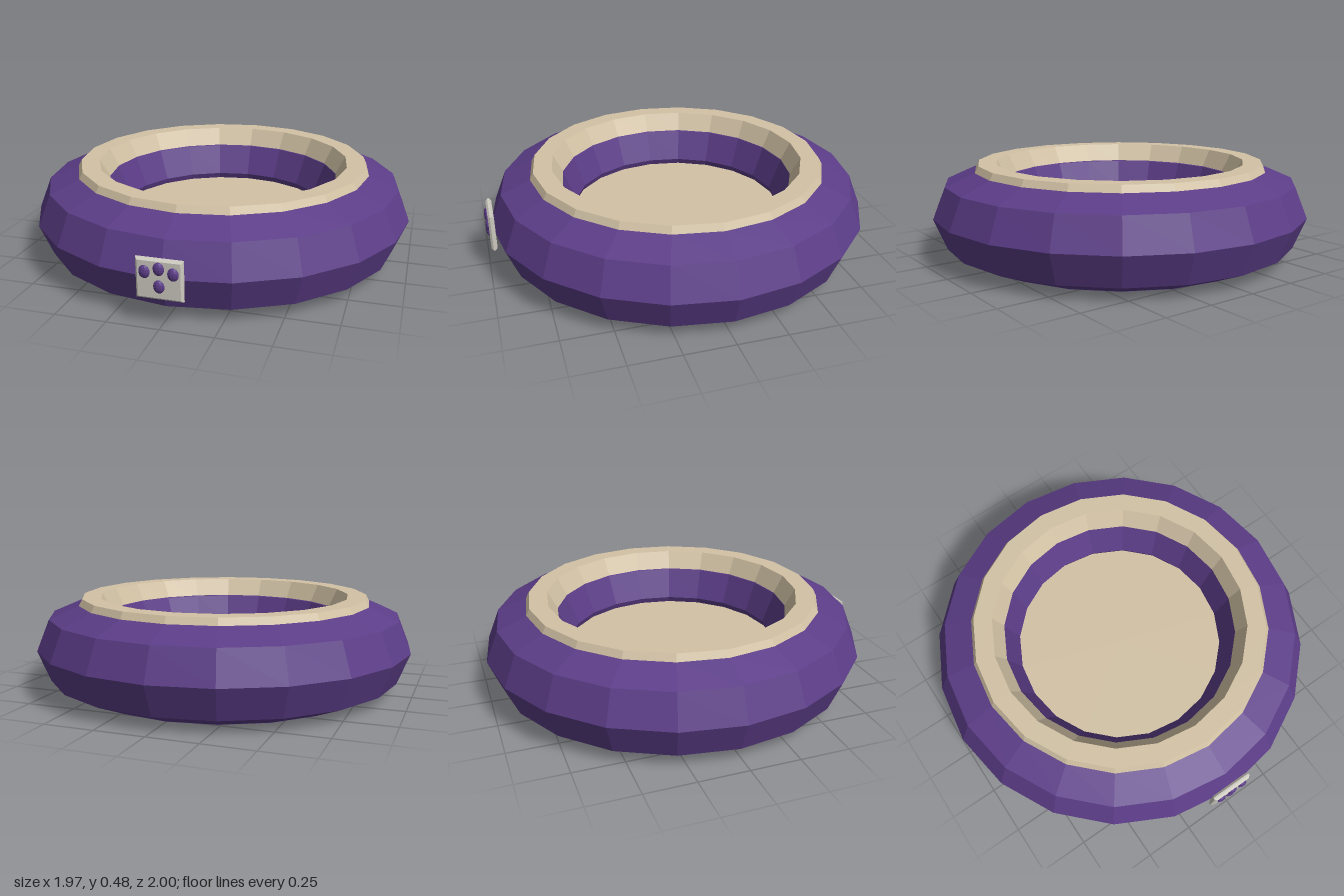
import * as THREE from 'three';

const SIDES = 20;
const CENTRE_Z = -0.014;

const purple = new THREE.MeshStandardMaterial({ color: 0x5c3d88 });
purple.name = 'purple fabric';
const beige = new THREE.MeshStandardMaterial({ color: 0xd2c2a5 });
beige.name = 'beige fabric';
const silver = new THREE.MeshStandardMaterial({ color: 0xcfccc2 });
silver.name = 'pale tag';

// Give every face its own normal for a faceted look
function faceted(geometry) {
  const flat = geometry.index ? geometry.toNonIndexed() : geometry;
  flat.computeVertexNormals();
  return flat;
}

function addPart(parent, name, geometry, material, x = 0, y = 0, z = 0) {
  const mesh = new THREE.Mesh(faceted(geometry), material);
  mesh.name = name;
  mesh.position.set(x, y, z);
  parent.add(mesh);
  return mesh;
}

// Closed ring from a counterclockwise (radius, height) cross-section
function ring(section) {
  const points = [...section, section[0]].map(([r, y]) => new THREE.Vector2(r, y));
  return new THREE.LatheGeometry(points, SIDES);
}

export function createModel() {
  const model = new THREE.Group();
  model.name = 'petBed';

  // Round bed
  const bed = new THREE.Group();
  bed.name = 'bed';
  bed.position.z = CENTRE_Z;
  model.add(bed);

  // Puffy octagonal bolster
  const bolster = [];
  for (let i = 0; i < 8; i++) {
    const a = (i * Math.PI) / 4;
    bolster.push([0.765 + 0.221 * Math.cos(a), 0.226 + 0.225 * Math.sin(a)]);
  }
  addPart(bed, 'bolster', ring(bolster), purple);

  // Trim lying over the top and inner lip of the bolster
  addPart(bed, 'rimTrim', ring([
    [0.66, 0.38], [0.772, 0.445], [0.752, 0.483], [0.656, 0.483], [0.606, 0.39],
  ]), beige);

  // Flat base and sleeping cushion
  addPart(bed, 'base', new THREE.CylinderGeometry(0.765, 0.765, 0.06, SIDES), purple, 0, 0.03);
  addPart(bed, 'cushion', new THREE.CylinderGeometry(0.58, 0.58, 0.14, SIDES), beige, 0, 0.125);

  // Bevelled name tag on the front
  const tag = new THREE.Group();
  tag.name = 'tag';
  tag.position.set(0, 0.228, 0.955);
  model.add(tag);
  const w = 0.098, h = 0.085;
  const outline = new THREE.Shape();
  outline.moveTo(-w, -h).lineTo(w, -h).lineTo(w, h).lineTo(-w, h).closePath();
  addPart(tag, 'tagPlate', new THREE.ExtrudeGeometry(outline, {
    depth: 0.01, bevelEnabled: true, bevelThickness: 0.01, bevelSize: 0.01, bevelSegments: 1,
  }), silver, 0, 0, 0.01);

  // Paw print: three toes above one pad
  const paw = [['leftToe', 0.065, 0.034], ['middleToe', 0, 0.052], ['rightToe', -0.065, 0.034], ['pad', 0, -0.03]];
  for (const [name, x, y] of paw) {
    const dot = new THREE.SphereGeometry(1, 10, 8).scale(0.027, 0.031, 0.017);
    addPart(tag, name, dot, purple, x, y, 0.028);
  }

  return model;
}
